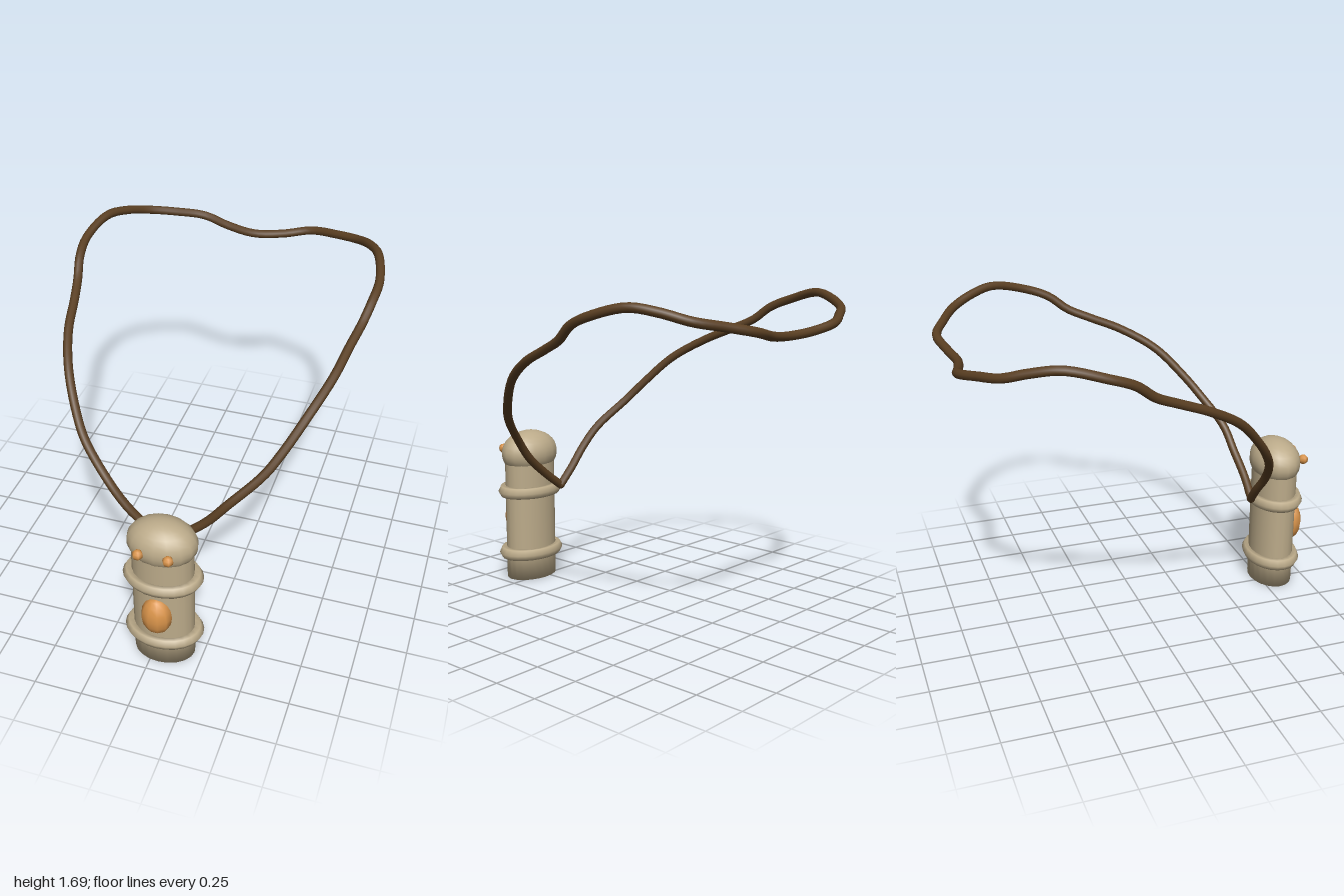
import * as THREE from 'three';

const stone = new THREE.MeshStandardMaterial({ name: 'tan stone', color: 0xbcab8a });
const amber = new THREE.MeshStandardMaterial({ name: 'amber', color: 0xd8934a });
const leather = new THREE.MeshStandardMaterial({ name: 'brown leather', color: 0x5a3f22, side: THREE.DoubleSide });

const DEPTH = 0.74; // the pendant is oval: depth relative to width

function add(parent, name, geometry, material, x = 0, y = 0, z = 0) {
  const mesh = new THREE.Mesh(geometry, material);
  mesh.name = name;
  mesh.position.set(x, y, z);
  parent.add(mesh);
  return mesh;
}

function createPendant() {
  const pendant = new THREE.Group();
  pendant.name = 'pendant';
  pendant.position.set(0.045, 0, 0.822);

  // Oval post with a softly shaded foot
  const profile = [[0, 0], [0.159, 0], [0.159, 0.15], [0.159, 0.52], [0.159, 0.68]]
    .map(([r, y]) => new THREE.Vector2(r, y));
  add(pendant, 'body', new THREE.LatheGeometry(profile, 20), stone).scale.z = DEPTH;

  // Domed head, cut off below its widest point
  const dome = new THREE.SphereGeometry(1, 16, 10, 0, Math.PI * 2, 0, Math.PI * 0.65);
  add(pendant, 'head', dome, stone, 0, 0.733, 0).scale.set(0.18, 0.128, 0.134);

  // Two raised bands with a pointed rim
  for (const [name, y] of [['lowerBand', 0.153], ['upperBand', 0.517]]) {
    const band = new THREE.TorusGeometry(0.171, 0.035, 6, 24).rotateX(Math.PI / 2);
    add(pendant, name, band, stone, 0, y, 0).scale.z = DEPTH;
  }

  // Belly stone and eyes
  add(pendant, 'bellyStone', new THREE.SphereGeometry(1, 10, 8), amber, 0, 0.335, 0.112)
    .scale.set(0.08, 0.112, 0.066);
  for (const [name, side] of [['leftEye', 1], ['rightEye', -1]]) {
    add(pendant, name, new THREE.SphereGeometry(0.028, 6, 6), amber, side * 0.076, 0.745, 0.138);
  }
  return pendant;
}

function createCord() {
  // One half of the loop, from above the knot to the nape
  const half = [
    [0.21, 0.745, 0.642], [0.31, 0.86, 0.617], [0.46, 1.01, 0.525], [0.53, 1.11, 0.45],
    [0.62, 1.26, 0.31], [0.69, 1.37, 0.13], [0.727, 1.447, -0.05], [0.755, 1.5, -0.17],
    [0.78, 1.575, -0.27], [0.79, 1.625, -0.4], [0.745, 1.67, -0.59], [0.68, 1.65, -0.72],
    [0.6, 1.613, -0.83], [0.46, 1.585, -0.91], [0.31, 1.555, -0.972], [0.16, 1.525, -0.947],
  ].map((p) => new THREE.Vector3(...p));
  const mirrored = half.map((p) => new THREE.Vector3(-p.x, p.y, p.z)).reverse();
  const path = new THREE.CatmullRomCurve3([
    new THREE.Vector3(-0.035, 0.55, 0.652),
    new THREE.Vector3(0.08, 0.637, 0.656),
    ...half,
    new THREE.Vector3(0, 1.513, -0.922),
    ...mirrored,
    new THREE.Vector3(-0.12, 0.645, 0.64),
    new THREE.Vector3(-0.035, 0.55, 0.648),
  ]);
  const cord = new THREE.Group();
  cord.name = 'cord';
  add(cord, 'cordLoop', new THREE.TubeGeometry(path, 160, 0.023, 10), leather);
  add(cord, 'cordKnot', new THREE.SphereGeometry(0.024, 10, 8), leather, -0.035, 0.55, 0.65);
  return cord;
}

export function createModel() {
  const model = new THREE.Group();
  model.name = 'necklace';
  model.add(createPendant(), createCord());
  return model;
}
